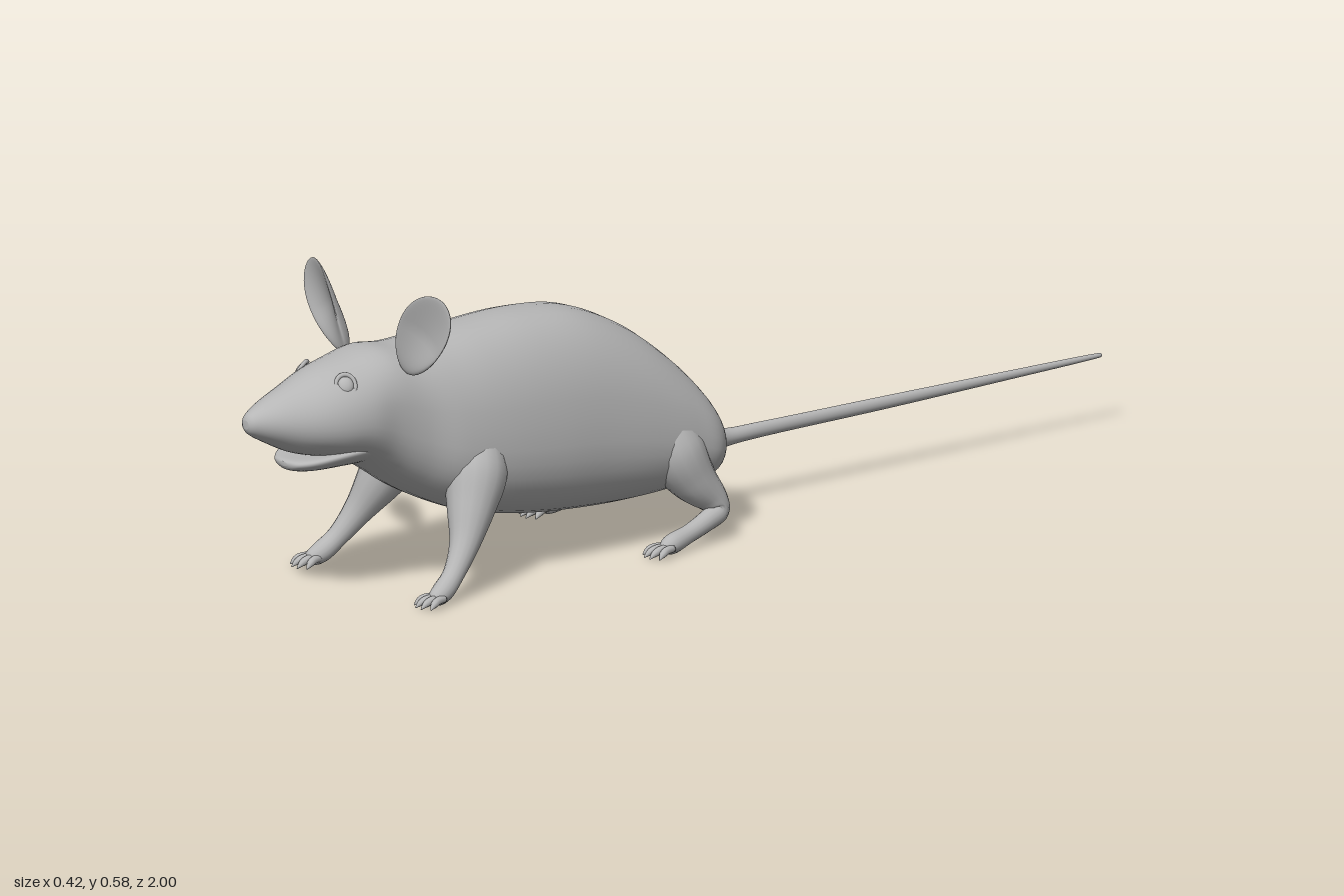
import * as THREE from 'three';

const fur = new THREE.MeshStandardMaterial({ color: 0xb6b6b6 });
fur.name = 'grey fur';

// Smooth interpolation through rows of numbers
function smoothRows(rows, steps) {
  const out = [];
  const n = rows.length;
  for (let i = 0; i < n - 1; i++) {
    const [p, a, b, q] = [rows[Math.max(i - 1, 0)], rows[i], rows[i + 1], rows[Math.min(i + 2, n - 1)]];
    for (let s = 0; s < steps; s++) {
      const t = s / steps;
      out.push(a.map((v, k) => v + 0.5 * t * (b[k] - p[k]
        + t * (2 * p[k] - 5 * v + 4 * b[k] - q[k] + t * (3 * (v - b[k]) + q[k] - p[k])))));
    }
  }
  out.push(rows[n - 1]);
  return out;
}

// Closed skin over a list of rings (each an array of Vector3)
function skin(rings) {
  const m = rings[0].length;
  const pos = [], index = [];
  rings.forEach(r => r.forEach(p => pos.push(p.x, p.y, p.z)));
  for (let i = 0; i < rings.length - 1; i++) {
    for (let j = 0; j < m; j++) {
      const k = (j + 1) % m;
      const a = i * m + j, b = a + m, c = (i + 1) * m + k, d = i * m + k;
      index.push(a, b, c, a, c, d);
    }
  }
  // end caps
  [0, rings.length - 1].forEach((ri, end) => {
    const mid = new THREE.Vector3();
    rings[ri].forEach(p => mid.addScaledVector(p, 1 / m));
    const centre = pos.length / 3;
    pos.push(mid.x, mid.y, mid.z);
    for (let j = 0; j < m; j++) {
      const a = ri * m + j, b = ri * m + (j + 1) % m;
      if (end) index.push(centre, b, a); else index.push(centre, a, b);
    }
  });
  const g = new THREE.BufferGeometry();
  g.setAttribute('position', new THREE.Float32BufferAttribute(pos, 3));
  g.setIndex(index);
  g.computeVertexNormals();
  return g;
}

// Rows: z, top, bottom, half width, taper towards the top, squareness
function loftZ(rows, lift = 0, sides = 40) {
  return skin(smoothRows(rows, 6).map(([z, top, bot, w, taper, p]) => {
    const ring = [];
    for (let j = 0; j < sides; j++) {
      const a = j / sides * Math.PI * 2, c = Math.cos(a), s = Math.sin(a);
      const yn = Math.sign(s) * Math.abs(s) ** (2 / p);
      const x = w * Math.sign(c) * Math.abs(c) ** (2 / p) * (1 - taper * yn);
      ring.push(new THREE.Vector3(x, (top + bot) / 2 + (top - bot) / 2 * yn + lift * x * x, z));
    }
    return ring;
  }));
}

// Rows: x, y, z, radius; side mirrors the limb
function limb(rows, side, steps = 6, sides = 16) {
  const pts = smoothRows(rows.map(([x, y, z, r]) => [x * side, y, z, r]), steps);
  const at = i => new THREE.Vector3(...pts[Math.min(Math.max(i, 0), pts.length - 1)].slice(0, 3));
  return skin(pts.map((p, i) => {
    const T = at(i + 1).sub(at(i - 1)).normalize();
    const u = new THREE.Vector3(1, 0, 0).addScaledVector(T, -T.x).normalize();
    const v = u.clone().cross(T);
    return Array.from({ length: sides }, (_, j) => {
      const a = j / sides * Math.PI * 2;
      return at(i).addScaledVector(u, p[3] * Math.cos(a)).addScaledVector(v, p[3] * Math.sin(a));
    });
  }));
}

// Thin cupped ear, narrow at its root
function earGeometry(side) {
  const g = new THREE.SphereGeometry(1, 36, 24);
  const P = g.attributes.position;
  const root = new THREE.Vector2(0.086, 0.42), tip = new THREE.Vector2(0.192, 0.574);
  const mid = root.clone().add(tip).multiplyScalar(0.5);
  const along = tip.clone().sub(root).multiplyScalar(0.5);
  const across = new THREE.Vector2(along.y, -along.x).normalize();
  for (let i = 0; i < P.count; i++) {
    // mirrored by flipping the input, so the winding stays right
    const u = P.getX(i) * side, v = P.getY(i), w = P.getZ(i);
    const half = u * 0.05 * (1 + 0.24 * v);
    const thick = 0.008 + 0.014 * Math.max(0, -v);
    const cup = 0.022 * (u * u + 0.4 * v * v) - 0.012 * u;
    P.setXYZ(i, side * (mid.x + along.x * v + across.x * half),
      mid.y + along.y * v + across.y * half, 0.685 + cup + thick * w);
  }
  g.computeVertexNormals();
  return g;
}

export function createModel() {
  const model = new THREE.Group();
  model.name = 'rat';
  const add = (name, geometry, parent = model) => {
    const mesh = new THREE.Mesh(geometry, fur);
    mesh.name = name;
    parent.add(mesh);
    return mesh;
  };

  // Head, trunk and tail in one skin
  add('headBodyAndTail', loftZ([
    [1.0, 0.364, 0.348, 0.008, 0, 2],
    [0.99, 0.377, 0.335, 0.021, 0, 2],
    [0.95, 0.395, 0.312, 0.046, 0.05, 2],
    [0.90, 0.413, 0.288, 0.070, 0.1, 2],
    [0.84, 0.434, 0.272, 0.092, 0.12, 2.1],
    [0.78, 0.448, 0.258, 0.103, 0.1, 2.2],
    [0.72, 0.458, 0.222, 0.105, 0.02, 2.4],
    [0.66, 0.452, 0.182, 0.115, 0.05, 2.4],
    [0.59, 0.455, 0.145, 0.134, 0.16, 2.4],
    [0.50, 0.463, 0.110, 0.143, 0.18, 2.4],
    [0.38, 0.467, 0.088, 0.145, 0.18, 2.4],
    [0.26, 0.453, 0.077, 0.144, 0.16, 2.4],
    [0.15, 0.405, 0.075, 0.146, 0.14, 2.4],
    [0.06, 0.338, 0.082, 0.147, 0.12, 2.4],
    [0.0, 0.277, 0.088, 0.142, 0.1, 2.3],
    [-0.04, 0.225, 0.096, 0.105, 0, 2.1],
    [-0.075, 0.182, 0.108, 0.045, 0, 2],
    [-0.115, 0.153, 0.117, 0.019, 0, 2],
    [-0.22, 0.149, 0.121, 0.012, 0, 2],
    [-0.50, 0.146, 0.122, 0.010, 0, 2],
    [-0.80, 0.142, 0.126, 0.007, 0, 2],
    [-0.98, 0.139, 0.129, 0.005, 0, 2],
    [-1.0, 0.136, 0.132, 0.002, 0, 2],
  ]));

  // Lower jaw, curving up at the corners of the mouth
  add('lowerJaw', loftZ([
    [0.912, 0.272, 0.264, 0.010, 0, 2],
    [0.903, 0.276, 0.255, 0.036, 0, 2],
    [0.87, 0.278, 0.249, 0.062, 0, 2.2],
    [0.81, 0.282, 0.247, 0.078, 0, 2.2],
    [0.74, 0.285, 0.247, 0.080, 0, 2.2],
    [0.70, 0.280, 0.255, 0.060, 0, 2],
  ], 3));

  for (const side of [1, -1]) {
    const label = side > 0 ? 'left' : 'right';
    add(label + 'Ear', earGeometry(side));

    // Eye with a raised lid ring
    const eye = new THREE.Group();
    eye.name = label + 'Eye';
    add('eyeball', new THREE.SphereGeometry(0.015, 20, 14), eye).scale.set(1, 1.1, 0.6);
    add('eyelid', new THREE.TorusGeometry(0.018, 0.004, 10, 28), eye).scale.set(1, 1.15, 1);
    eye.position.set(side * 0.064, 0.412, 0.818);
    eye.lookAt(side * (0.064 + 0.78), 0.412 + 0.45, 0.818 + 0.42);
    model.add(eye);

    // Legs
    add(label + 'FrontLeg', limb([
      [0.085, 0.27, 0.53, 0.045], [0.108, 0.21, 0.55, 0.058], [0.131, 0.15, 0.58, 0.044],
      [0.152, 0.095, 0.612, 0.028], [0.166, 0.05, 0.648, 0.020], [0.174, 0.024, 0.68, 0.020],
      [0.178, 0.014, 0.703, 0.014], [0.178, 0.011, 0.712, 0.003],
    ], side));
    add(label + 'HindLeg', limb([
      [0.09, 0.23, 0.10, 0.045], [0.108, 0.17, 0.085, 0.057], [0.124, 0.115, 0.055, 0.045],
      [0.140, 0.075, 0.022, 0.029], [0.149, 0.053, 0.018, 0.022], [0.157, 0.041, 0.05, 0.019],
      [0.167, 0.028, 0.10, 0.017], [0.176, 0.018, 0.15, 0.018], [0.179, 0.012, 0.176, 0.004],
    ], side));

    // Four clawed toes on each foot
    for (const [name, z] of [['FrontToe', 0.69], ['HindToe', 0.155]]) {
      for (let k = 0; k < 4; k++) {
        const s = k - 1.5, reach = 0.052 - 0.005 * s * s;
        const x = 0.178 + s * 0.011;
        add(label + name, limb([
          [x - s * 0.003, 0.015, z, 0.007], [x, 0.015, z + reach * 0.45, 0.0075],
          [x + s * 0.003, 0.011, z + reach * 0.75, 0.0065], [x + s * 0.005, 0.003, z + reach, 0.001],
        ], side, 4, 10));
      }
    }
  }
  return model;
}
